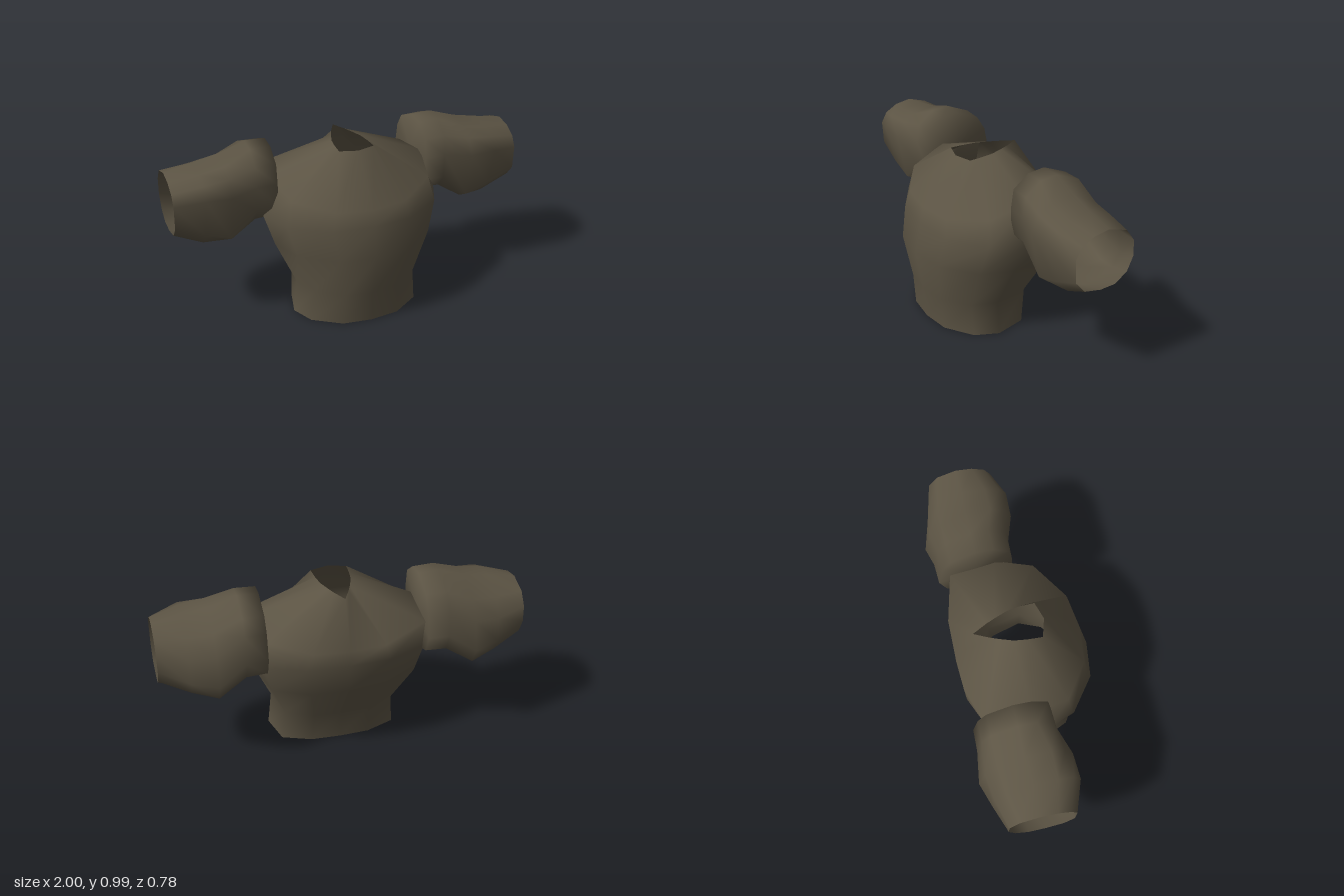
import * as THREE from 'three';

// Skin a stack of equal-length closed rings into one smooth surface
function loft(rings) {
  const n = rings[0].length, pos = [], idx = [];
  for (const ring of rings) for (const p of ring) pos.push(...p);
  for (let i = 0; i < rings.length - 1; i++) {
    for (let j = 0; j < n; j++) {
      const k = (j + 1) % n;
      const a = i * n + j, b = i * n + k, c = b + n, d = a + n;
      idx.push(a, b, c, a, c, d);
    }
  }
  const g = new THREE.BufferGeometry();
  g.setAttribute('position', new THREE.Float32BufferAttribute(pos, 3));
  g.setIndex(idx);
  g.computeVertexNormals();
  return g;
}

// Full ring from its left half, listed from front centre to back centre
function mirrorRing(half) {
  return [...half, ...half.slice(1, -1).reverse().map(([x, y, z]) => [-x, y, z])];
}

// Rounded body outline at one height
function bodyRing(y, w, zFront, zBack, zSide) {
  const xs = [0, 0.44, 0.85, 1, 0.88, 0.45, 0];
  const zs = [1, 0.92, 0.51, 0, -0.72, -0.97, -1];
  return mirrorRing(xs.map((fx, i) => {
    const reach = zs[i] > 0 ? zFront - zSide : zSide - zBack;
    return [fx * w, y, zSide + zs[i] * reach];
  }));
}

function torsoGeometry() {
  const shoulder = mirrorRing([
    [0, 0.69, 0.335], [0.2, 0.7, 0.31], [0.4, 0.74, 0.17], [0.445, 0.81, -0.04],
    [0.435, 0.77, -0.29], [0.2, 0.7, -0.355], [0, 0.69, -0.36]]);
  const neck = mirrorRing([
    [0, 0.95, 0.13], [0.1, 0.95, 0.1], [0.095, 0.95, 0.02], [0.085, 0.95, -0.05],
    [0.06, 0.95, -0.12], [0.04, 0.95, -0.17], [0, 0.95, -0.25]]);
  return loft([
    bodyRing(0, 0.37, 0.33, -0.165, 0.08),
    bodyRing(0.19, 0.35, 0.35, -0.2, 0.08),
    bodyRing(0.43, 0.455, 0.39, -0.34, 0.04),
    bodyRing(0.6, 0.508, 0.355, -0.36, 0.02),
    shoulder, neck]);
}

// Sleeve outlines as [z, y], from the front, under the arm, up the back and over
const upperArm = [
  [0.065, 0.8], [0.06, 0.66], [0, 0.585], [-0.11, 0.56], [-0.22, 0.56], [-0.32, 0.6],
  [-0.36, 0.7], [-0.33, 0.85], [-0.28, 0.93], [-0.14, 0.99], [-0.04, 0.98], [0.05, 0.91]];
const puff = [
  [0.115, 0.79], [0.06, 0.525], [-0.02, 0.48], [-0.11, 0.505], [-0.22, 0.5], [-0.34, 0.505],
  [-0.387, 0.6], [-0.35, 0.76], [-0.28, 0.86], [-0.14, 0.94], [0, 0.92], [0.07, 0.88]];
const forearm = [
  [0.12, 0.8], [0.06, 0.57], [-0.02, 0.49], [-0.11, 0.5], [-0.2, 0.505], [-0.3, 0.54],
  [-0.345, 0.62], [-0.33, 0.75], [-0.27, 0.85], [-0.13, 0.915], [0, 0.9], [0.08, 0.87]];
const cuff = [
  [0.063, 0.77], [0.055, 0.64], [0, 0.575], [-0.1, 0.555], [-0.19, 0.56], [-0.26, 0.61],
  [-0.295, 0.69], [-0.29, 0.78], [-0.24, 0.85], [-0.13, 0.885], [-0.04, 0.87], [0.03, 0.83]];

// Puffed sleeve: closed at the shoulder, open at the cuff
function sleeveGeometry(side) {
  const scaled = (s) => upperArm.map(([z, y]) => [-0.14 + (z + 0.14) * s, 0.77 + (y - 0.77) * s]);
  const sections = [
    [0.43, scaled(0.001)], [0.435, scaled(0.98)], [0.55, upperArm],
    [0.7, puff], [0.84, forearm], [1, cuff]];
  return loft(sections.map(([x, outline]) => {
    const ring = outline.map(([z, y]) => [side * x, y, z]);
    return side > 0 ? ring : ring.reverse();
  }));
}

export function createModel() {
  const model = new THREE.Group();
  model.name = 'shirt';
  const cloth = new THREE.MeshStandardMaterial({ color: 0x5c5444, side: THREE.DoubleSide });
  cloth.name = 'brown cloth';

  const add = (name, geometry) => {
    const mesh = new THREE.Mesh(geometry, cloth);
    mesh.name = name;
    model.add(mesh);
  };
  add('torso', torsoGeometry());
  add('leftSleeve', sleeveGeometry(1));
  add('rightSleeve', sleeveGeometry(-1));
  return model;
}
